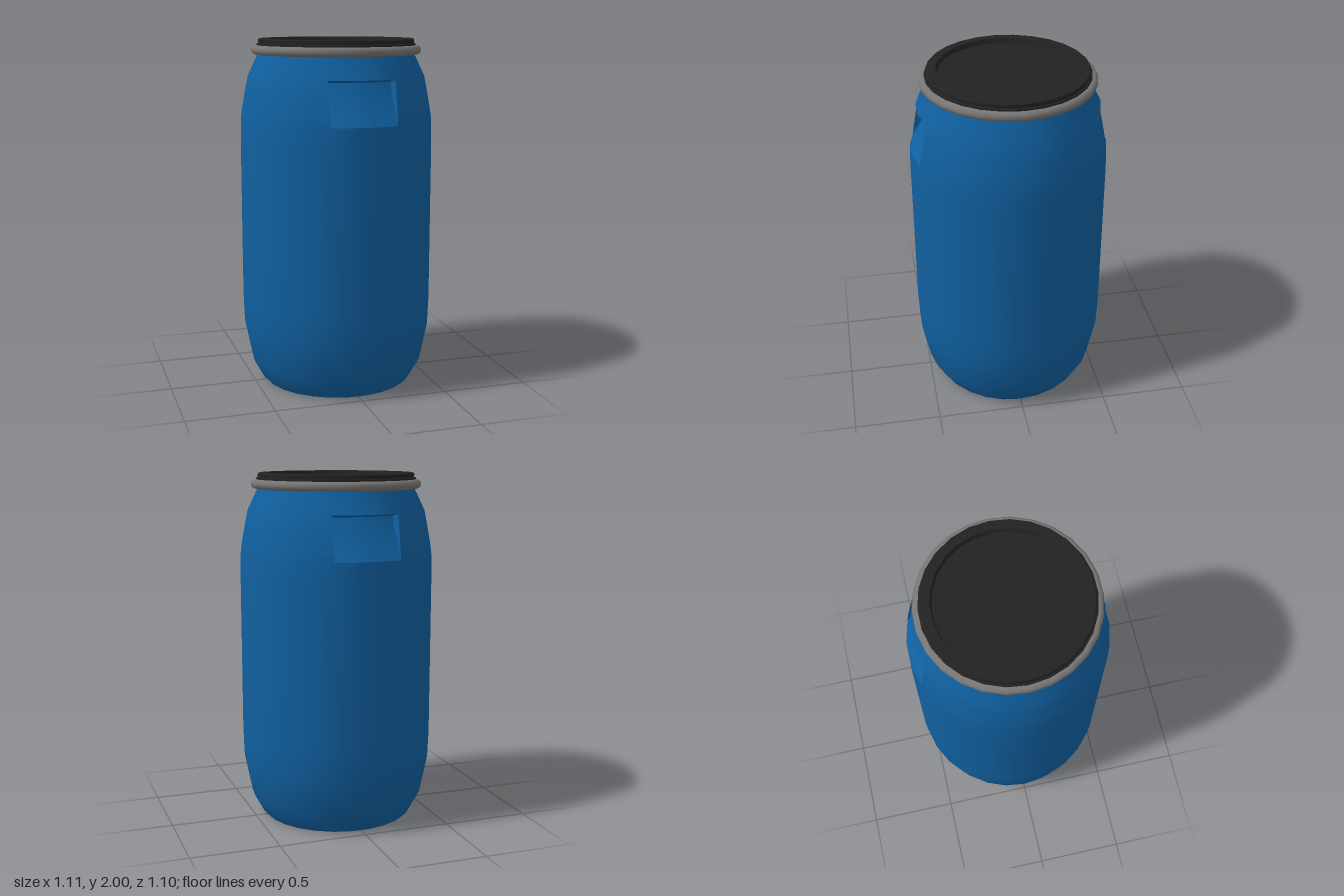
import * as THREE from 'three';
import { toCreasedNormals } from 'three/addons/utils/BufferGeometryUtils.js';

const SIDES = 26;
const STEP = (Math.PI * 2) / SIDES;
const HALF_GRIP = 0.19; // half width of a hand grip
const GRIP_LOW = 1.545;
const GRIP_TOP = 1.79;

const blue = new THREE.MeshStandardMaterial({ color: 0x1060a0 });
const black = new THREE.MeshStandardMaterial({ color: 0x222222 });
const grey = new THREE.MeshStandardMaterial({ color: 0x787674 });
blue.name = 'blue plastic';
black.name = 'black plastic';
grey.name = 'grey metal';

// Turned shape from [radius, height] pairs, with a vertex on the x axis
function turned(profile) {
  const points = profile.map(([r, y]) => new THREE.Vector2(r, y));
  return new THREE.LatheGeometry(points, SIDES, Math.PI / 2, Math.PI * 2);
}

function addMesh(parent, name, geometry, material, crease = 0.7) {
  const mesh = new THREE.Mesh(toCreasedNormals(geometry, crease), material);
  mesh.name = name;
  parent.add(mesh);
  return mesh;
}

// Surface spanned by rows of points running along +x, rows going upward
function surface(rows) {
  const n = rows[0].length;
  const index = [];
  for (let i = 0; i < rows.length - 1; i++) {
    for (let j = 0; j < n - 1; j++) {
      const a = i * n + j, c = a + n;
      index.push(a, a + 1, c + 1, a, c + 1, c);
    }
  }
  const geometry = new THREE.BufferGeometry();
  geometry.setAttribute('position', new THREE.Float32BufferAttribute(rows.flat(2), 3));
  geometry.setIndex(index);
  return geometry;
}

// Height, wall radius and recess floor radius up the hand grip
const gripRows = [
  [GRIP_LOW, 0.55, 0.55],
  [1.6, 0.543, 0.515],
  [1.7, 0.525, 0.458],
  [GRIP_TOP, 0.507, 0.43],
];

// Barrel wall with an opening at front and back for the grips
function bodyGeometry() {
  const geometry = turned([
    [0, 0.06], [0.35, 0.05], [0.405, 0.005], [0.43, 0], [0.448, 0.02],
    [0.503, 0.12], [0.547, 0.34], [0.553, 0.5], [0.553, 1.42],
    ...gripRows.map(([y, r]) => [r, y]),
    [0.45, 1.91], [0.44, 1.95],
  ]);
  const p = geometry.attributes.position;
  // straighten the upright edges of the openings
  for (let i = 0; i < p.count; i++) {
    const x = p.getX(i), y = p.getY(i), z = p.getZ(i), r = Math.hypot(x, z);
    const onEdge = Math.abs(Math.abs(x) / r - Math.sin(1.5 * STEP)) < 0.01;
    if (onEdge && y > GRIP_LOW - 0.01 && y < GRIP_TOP + 0.01) {
      p.setX(i, Math.sign(x) * HALF_GRIP);
      p.setZ(i, Math.sign(z) * Math.sqrt(r * r - HALF_GRIP * HALF_GRIP));
    }
  }
  // drop the faces inside the openings
  const old = geometry.index.array, kept = [];
  for (let i = 0; i < old.length; i += 3) {
    const t = [old[i], old[i + 1], old[i + 2]];
    const inside = t.every((v) => Math.abs(p.getX(v)) < HALF_GRIP + 0.001
      && p.getY(v) > GRIP_LOW - 0.001 && p.getY(v) < GRIP_TOP + 0.001);
    if (!inside) kept.push(...t);
  }
  geometry.setIndex(kept);
  return geometry;
}

// Sloping recess with side walls and an overhanging top ledge
function gripGeometry() {
  const at = (x, y, r) => [x, y, Math.sqrt(r * r - x * x)];
  const rows = gripRows.map(([y, wall, floor]) => {
    const fy = y === GRIP_TOP ? y - 0.015 : y;
    const inner = Math.sin(STEP / 2) * (y === GRIP_LOW ? wall : 0.55);
    return [
      at(-HALF_GRIP, y, wall),
      ...[-HALF_GRIP, -inner, inner, HALF_GRIP].map((x) => at(x, fy, floor)),
      at(HALF_GRIP, y, wall),
    ];
  });
  const lip = gripRows[3][1];
  const inner = Math.sin(STEP / 2) * lip;
  rows.push([-HALF_GRIP, -HALF_GRIP, -inner, inner, HALF_GRIP, HALF_GRIP]
    .map((x) => at(x, GRIP_TOP, lip)));
  return surface(rows);
}

export function createModel() {
  const model = new THREE.Group();
  model.name = 'barrel';

  addMesh(model, 'body', bodyGeometry(), blue, 0.9);
  addMesh(model, 'frontGrip', gripGeometry(), blue);
  addMesh(model, 'backGrip', gripGeometry(), blue).rotation.y = Math.PI;

  // Rounded clamping ring around the neck
  addMesh(model, 'clampRing', turned([
    [0.44, 1.912], [0.468, 1.912], [0.482, 1.922], [0.486, 1.938],
    [0.482, 1.953], [0.468, 1.963], [0.44, 1.963],
  ]), grey, 0.9);

  // Lid with a raised rim and sunken middle
  addMesh(model, 'lid', turned([
    [0.455, 1.95], [0.455, 1.972], [0.446, 1.975], [0.446, 1.994], [0.44, 2],
    [0.392, 2], [0.384, 1.975], [0, 1.975],
  ]), black, 0.5);

  return model;
}
